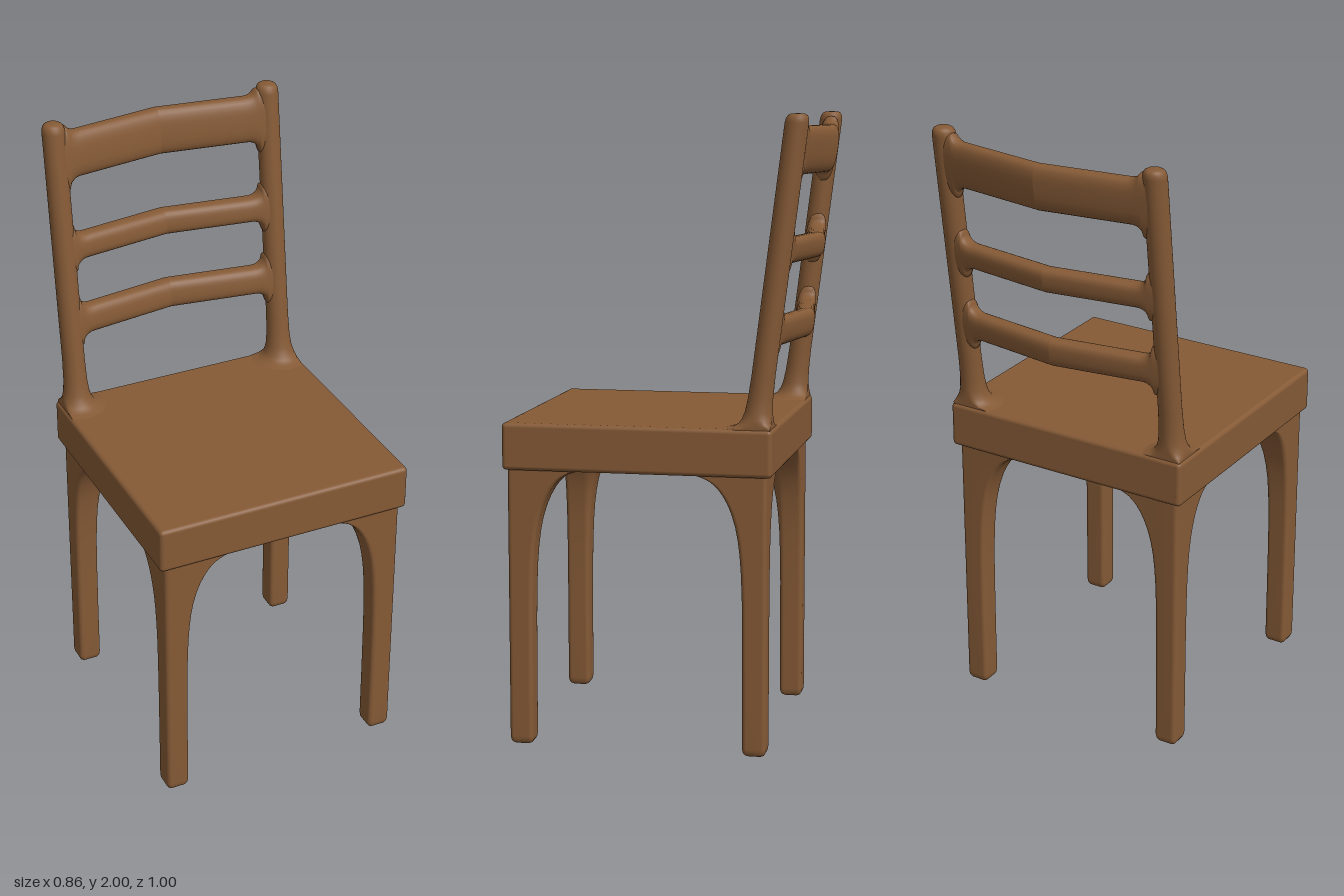
import * as THREE from 'three';
import { RoundedBoxGeometry } from 'three/addons/geometries/RoundedBoxGeometry.js';
import { mergeVertices } from 'three/addons/utils/BufferGeometryUtils.js';

const wood = new THREE.MeshStandardMaterial({ color: 0x855a36 });

// Skin a list of closed rings with smooth normals.
function loft(rings, flip = false) {
  const n = rings[0].length, index = [];
  for (let i = 0; i < rings.length - 1; i++) {
    for (let j = 0; j < n; j++) {
      const a = i * n + j, b = i * n + (j + 1) % n, c = a + n, d = b + n;
      if (flip) index.push(a, b, c, b, d, c);
      else index.push(a, c, b, b, c, d);
    }
  }
  const g = new THREE.BufferGeometry();
  g.setAttribute('position', new THREE.Float32BufferAttribute(rings.flat(2), 3));
  g.setIndex(index);
  g.computeVertexNormals();
  return g;
}

// Square leg whose two inner faces sweep out to meet the seat.
function legGeometry(cx, cz, sx, sz) {
  const half = 0.038, steps = 6, rings = [];
  const ring = (y, scale) => {
    const d = Math.max(0, 0.89 - y);
    const flare = 0.12 * Math.exp(-d / 0.1) + 0.04 * Math.exp(-d / 0.012);
    const lo = -half - flare, r = 0.014, R = r + flare * 0.8;
    const corners = [
      [half - r, half - r, r, 0], [lo + r, half - r, r, 1],
      [lo + R, lo + R, R, 2], [half - r, lo + r, r, 3],
    ];
    const points = [];
    for (const [x, z, rad, q] of corners) {
      for (let k = 0; k <= steps; k++) {
        const t = (q + k / steps) * Math.PI / 2;
        points.push([
          cx + sx * scale * (x + rad * Math.cos(t)), y,
          cz + sz * scale * (z + rad * Math.sin(t)),
        ]);
      }
    }
    return points;
  };
  rings.push(ring(0, 0), ring(0, 0.65), ring(0.004, 0.83), ring(0.012, 0.95), ring(0.025, 1));
  for (const y of [0.2, 0.4, 0.5, 0.58, 0.64, 0.69, 0.73, 0.77, 0.8, 0.825, 0.845, 0.86, 0.87, 0.878, 0.884, 0.89, 0.9]) {
    rings.push(ring(y, 1));
  }
  return loft(rings, sx * sz < 0);
}

// Centre line of the leaning back.
const backZ = (y) => -0.303 - 0.127 * (y - 1.04);

// Round leaning post with a flared foot held inside the seat edge.
function postGeometry(side) {
  const profile = [
    [0.13, 1.03], [0.1, 1.038], [0.075, 1.043], [0.058, 1.053], [0.049, 1.068], [0.043, 1.09],
    [0.039, 1.13], [0.037, 1.2], [0.037, 1.6], [0.037, 1.972],
    [0.035, 1.985], [0.03, 1.994], [0.021, 1.999], [0, 2],
  ].map(([r, y]) => new THREE.Vector2(r, y));
  let g = new THREE.LatheGeometry(profile, 32);
  const p = g.attributes.position;
  for (let i = 0; i < p.count; i++) {
    const y = p.getY(i);
    const x = THREE.MathUtils.clamp(p.getX(i) + side * 0.372, -0.422, 0.422);
    p.setXYZ(i, x, y, Math.max(p.getZ(i) + backZ(y), y < 1.1 ? -0.352 : -1));
  }
  g.deleteAttribute('uv');
  g.deleteAttribute('normal');
  g = mergeVertices(g);
  g.computeVertexNormals();
  return g;
}

// Half of a rail, bent at the middle and filleted into its post.
function railGeometry(side, y0, y1, maxUp) {
  const stations = [0, 0.15, 0.28, 0.295, 0.305, 0.315, 0.322, 0.328, 0.332, 0.335, 0.345, 0.37];
  const xs = side > 0 ? stations : stations.map((x) => -x).reverse();
  const mid = (y0 + y1) / 2, half = (y1 - y0) / 2, n = 28, r = 0.04;
  const soft = (v) => Math.sign(v) * Math.abs(v) ** 0.72;
  const rings = xs.map((x) => {
    const ax = Math.abs(x), t = Math.min(r, Math.max(0, ax - 0.295));
    const fillet = r - Math.sqrt(r * r - t * t);
    const offset = -0.053 * (1 - ax / 0.372);
    return Array.from({ length: n }, (_, j) => {
      const a = j / n * Math.PI * 2, s = soft(Math.sin(a));
      const h = half + (s > 0 ? Math.min(fillet, maxUp) : fillet);
      const y = mid + h * s;
      return [x, y, backZ(y) + offset + 0.033 * soft(Math.cos(a))];
    });
  });
  return loft(rings);
}

export function createModel() {
  const chair = new THREE.Group();
  chair.name = 'chair';
  const add = (name, geometry) => {
    const mesh = new THREE.Mesh(geometry, wood);
    mesh.name = name;
    chair.add(mesh);
    return mesh;
  };

  // Seat slab
  add('seat', new RoundedBoxGeometry(0.858, 0.15, 0.858, 4, 0.014)).position.set(0, 0.964, 0.07);

  // Legs, posts and rail halves on each side
  const rails = [
    ['topRail', 1.812, 1.962, 0.022],
    ['middleRail', 1.54, 1.622, 0.04],
    ['lowerRail', 1.285, 1.378, 0.04],
  ];
  for (const side of [1, -1]) {
    const label = side > 0 ? 'left' : 'right';
    add(`${label}FrontLeg`, legGeometry(side * 0.372, 0.449, side, 1));
    add(`${label}BackLeg`, legGeometry(side * 0.372, -0.303, side, -1));
    add(`${label}BackPost`, postGeometry(side));
    for (const [name, y0, y1, up] of rails) add(`${label}Half_${name}`, railGeometry(side, y0, y1, up));
  }
  return chair;
}
